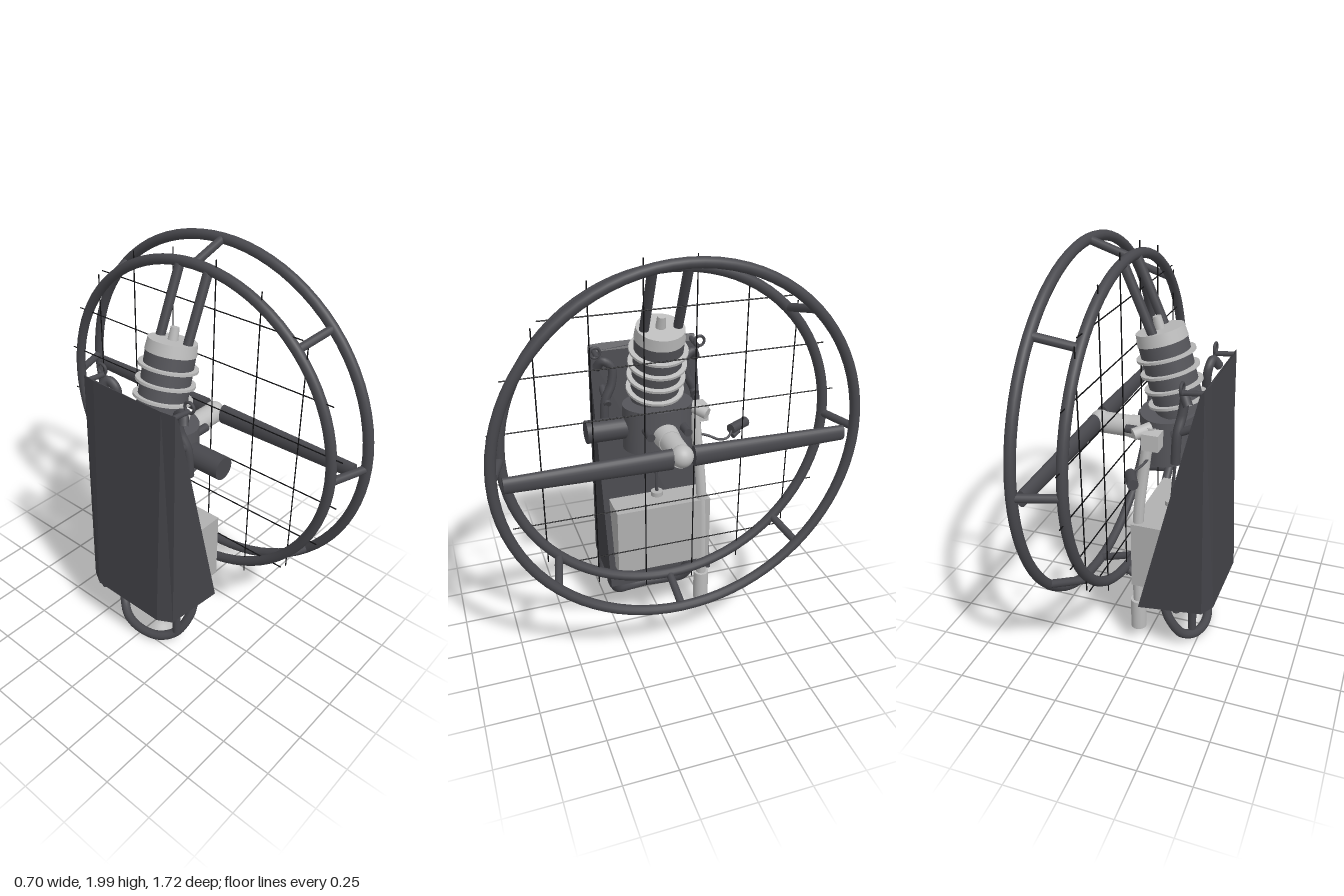
import * as THREE from 'three';

const mat = (name, color, side = THREE.FrontSide) => {
  const m = new THREE.MeshStandardMaterial({ color, side });
  m.name = name;
  return m;
};

export function createModel() {
  const root = new THREE.Group();
  root.name = 'backpackPropellerUnit';
  const frame = mat('frame dark grey', 0x48484d);
  const fabric = mat('harness charcoal', 0x434348);
  const engine = mat('engine grey', 0x55555a);
  const metal = mat('light metal', 0xbcbcbc);
  const tankGrey = mat('tank grey', 0xb0b0b0);
  const black = mat('net black', 0x101012);

  const V = (p) => new THREE.Vector3(...p);
  const add = (name, geo, m, pos = [0, 0, 0], parent = root) => {
    const mesh = new THREE.Mesh(geo, m);
    mesh.name = name;
    mesh.position.set(...pos);
    parent.add(mesh);
    return mesh;
  };
  // Straight round bar between two points
  const bar = (name, a, b, r, m, r2 = r, sides = 16) => {
    const d = V(b).sub(V(a));
    const mesh = add(name, new THREE.CylinderGeometry(r2, r, d.length(), sides), m);
    mesh.position.copy(V(a)).addScaledVector(d, 0.5);
    mesh.quaternion.setFromUnitVectors(new THREE.Vector3(0, 1, 0), d.normalize());
    return mesh;
  };
  // Smooth bent tube through points
  const tube = (name, pts, r, m, steps = 40) =>
    add(name, new THREE.TubeGeometry(new THREE.CatmullRomCurve3(pts.map(V)), steps, r, 10), m);

  // Safety cage: two hoops joined by eight struts
  const cy = 1.135, inner = { x: 0.13, r: 0.775 }, outer = { x: 0.324, r: 0.838 };
  for (const [name, h] of [['innerHoop', inner], ['outerHoop', outer]]) {
    add(name, new THREE.TorusGeometry(h.r, 0.024, 12, 80), frame, [h.x, cy, 0]).rotation.y = Math.PI / 2;
  }
  for (let i = 0; i < 8; i++) {
    const a = i * Math.PI / 4, c = Math.cos(a), s = Math.sin(a);
    bar('hoopStrut', [inner.x, cy + inner.r * s, inner.r * c],
      [outer.x, cy + outer.r * s, outer.r * c], 0.019, frame);
  }

  // Netting
  for (let i = 0; i < 6; i++) {
    const d = -0.6 + i * 0.24, half = Math.sqrt(0.83 ** 2 - d * d);
    bar('netVertical', [0.13, cy - half, d], [0.13, cy + half, d], 0.003, black, 0.003, 6);
    bar('netHorizontal', [0.13, cy + d, -half], [0.13, cy + d, half], 0.003, black, 0.003, 6);
  }

  // Harness wedge lofted from two outlines, chamfered along the back
  const outline = (y, front, back, w) => [
    [front, y, w], [back + 0.04, y, w], [back, y, w - 0.07],
    [back, y, -w + 0.07], [back + 0.04, y, -w], [front, y, -w]];
  const low = outline(0.29, 0.015, -0.35, 0.27), high = outline(1.45, -0.275, -0.305, 0.27);
  low[0][1] = low[5][1] = 0.25;
  high[0][1] = high[5][1] = 1.42;
  high[1][0] = high[4][0] = -0.295;
  const pos = [], tri = (a, b, c) => pos.push(...a, ...b, ...c);
  for (let i = 0; i < 6; i++) {
    const j = (i + 1) % 6;
    tri(low[i], high[j], low[j]);
    tri(low[i], high[i], high[j]);
    if (i > 0 && i < 5) {
      tri(low[0], low[i], low[j]);
      tri(high[0], high[j], high[i]);
    }
  }
  const wedge = new THREE.BufferGeometry();
  wedge.setAttribute('position', new THREE.Float32BufferAttribute(pos, 3));
  wedge.computeVertexNormals();
  add('harness', wedge, mat('harness charcoal', 0x434348, THREE.DoubleSide));

  // Mirrored frame tubes, shoulder arms and buckles
  for (const s of [-1, 1]) {
    bar('upperArm', [0.13, 1.9, s * 0.08], [-0.03, 1.53, s * 0.08], 0.022, frame);
    tube('lowerArm', [[0.13, 0.37, s * 0.13], [0.02, 0.3, s * 0.13], [-0.1, 0.24, s * 0.13], [-0.24, 0.18, s * 0.13]], 0.022, frame);
    bar('footPeg', [-0.26, 0.18, s * 0.25], [-0.26, 0.32, s * 0.25], 0.02, frame);
    bar('lowerPeg', [-0.14, 0.16, s * 0.13], [-0.14, 0.28, s * 0.13], 0.02, frame);
    tube('shoulderArm', [[-0.22, 1.36, s * 0.25], [-0.195, 1.4, s * 0.225], [-0.185, 1.37, s * 0.185],
      [-0.175, 1.29, s * 0.19], [-0.165, 1.21, s * 0.225], [-0.16, 1.07, s * 0.235]], 0.022, frame);
    add('buckle', new THREE.TorusGeometry(0.025, 0.007, 8, 20), frame, [-0.195, 1.445, s * 0.26]).rotation.y = Math.PI / 2;
    bar('buckleStrap', [-0.29, 1.43, s * 0.25], [-0.19, 1.42, s * 0.25], 0.012, frame);
    bar('engineMount', [-0.02, 1.13, s * 0.09], [0.13, 1.13, s * 0.09], 0.02, frame);
    bar('hangBar', [-0.24, 1.25, s * 0.22], [-0.14, 1.2, s * 0.22], 0.018, frame);
  }
  // Curved landing skid
  tube('landingSkid', [[-0.11, 0.27, 0.235], [-0.14, 0.18, 0.23], [-0.19, 0.075, 0.185], [-0.24, 0.035, 0.11],
    [-0.26, 0.026, 0], [-0.24, 0.035, -0.11], [-0.19, 0.075, -0.185], [-0.14, 0.18, -0.23], [-0.11, 0.27, -0.235]], 0.024, frame, 70);

  // Crankcase
  add('crankcase', new THREE.CylinderGeometry(1, 1, 0.22, 40), engine, [-0.055, 1.11, 0]).scale.set(0.133, 1, 0.17);
  const dome = add('crankcaseBase', new THREE.SphereGeometry(1, 32, 16), engine, [-0.055, 1.01, 0]);
  dome.scale.set(0.12, 0.03, 0.155);

  // Tilted engine cylinder with cooling fins
  const barrel = new THREE.Group();
  barrel.name = 'engineCylinder';
  barrel.position.set(-0.105, 1.235, 0);
  barrel.rotation.z = -0.262;
  root.add(barrel);
  add('cylinderBody', new THREE.CylinderGeometry(0.115, 0.115, 0.34, 40), engine, [0, 0.16, 0], barrel);
  add('cylinderHead', new THREE.CylinderGeometry(0.112, 0.118, 0.055, 40), metal, [0, 0.355, 0], barrel);
  add('sparkPlug', new THREE.CylinderGeometry(0.02, 0.024, 0.06, 16), metal, [0, 0.41, 0], barrel);
  for (let i = 0; i < 4; i++) {
    add('coolingFin', new THREE.CylinderGeometry(0.138, 0.138, 0.012, 40), metal, [0, 0.045 + i * 0.073, 0], barrel);
  }

  // Propeller shaft, spinner and flattened tapering blades
  bar('gearbox', [0.04, 1.1, 0], [0.14, 1.1, 0], 0.065, metal, 0.055, 24);
  bar('propellerShaft', [0.1, 1.1, 0], [0.3, 1.1, 0], 0.052, metal, 0.052, 24);
  add('spinner', new THREE.SphereGeometry(0.052, 24, 16), metal, [0.296, 1.107, 0]);
  for (const s of [-1, 1]) {
    const g = new THREE.CylinderGeometry(0.037, 0.05, 0.74, 24);
    g.scale(0.64, 1, 1);
    g.rotateX(s * Math.PI / 2);
    add('propellerBlade', g, frame, [0.308, 1.107, s * 0.42]);
  }

  // Muffler on the left
  bar('muffler', [-0.062, 1.11, 0.12], [-0.062, 1.11, 0.35], 0.055, frame, 0.055, 24);

  // Exhaust on the right
  add('exhaustPort', new THREE.BoxGeometry(0.08, 0.08, 0.1), metal, [-0.04, 1.15, -0.19]);
  tube('exhaustPipe', [[-0.02, 1.2, -0.17], [0.0, 1.05, -0.18], [0.03, 0.75, -0.2], [0.035, 0.5, -0.207], [0.033, 0.24, -0.21]], 0.026, metal);
  bar('exhaustStub', [-0.02, 1.19, -0.16], [0.045, 1.17, -0.215], 0.028, metal);
  bar('silencer', [0.033, 0.09, -0.21], [0.033, 0.255, -0.21], 0.039, metal, 0.039, 24);

  // Fuel tank, cap and hose
  add('fuelTank', new THREE.BoxGeometry(0.18, 0.35, 0.48), tankGrey, [-0.033, 0.53, 0]);
  add('fuelCap', new THREE.CylinderGeometry(0.03, 0.03, 0.025, 20), tankGrey, [-0.065, 0.715, 0]);
  bar('fuelHose', [-0.09, 1.02, 0], [-0.067, 0.72, 0], 0.008, frame, 0.008, 8);

  // Throttle grip on its cable
  tube('throttleCable', [[-0.02, 1.05, -0.17], [0.0, 1.03, -0.24], [0.03, 1.015, -0.29], [0.032, 1.02, -0.33], [0.005, 1.045, -0.365]], 0.006, frame);
  bar('throttleGrip', [0.008, 1.05, -0.355], [-0.042, 1.055, -0.455], 0.025, frame);
  bar('throttleLever', [0.025, 1.02, -0.36], [0.0, 1.03, -0.4], 0.012, frame);

  return root;
}
